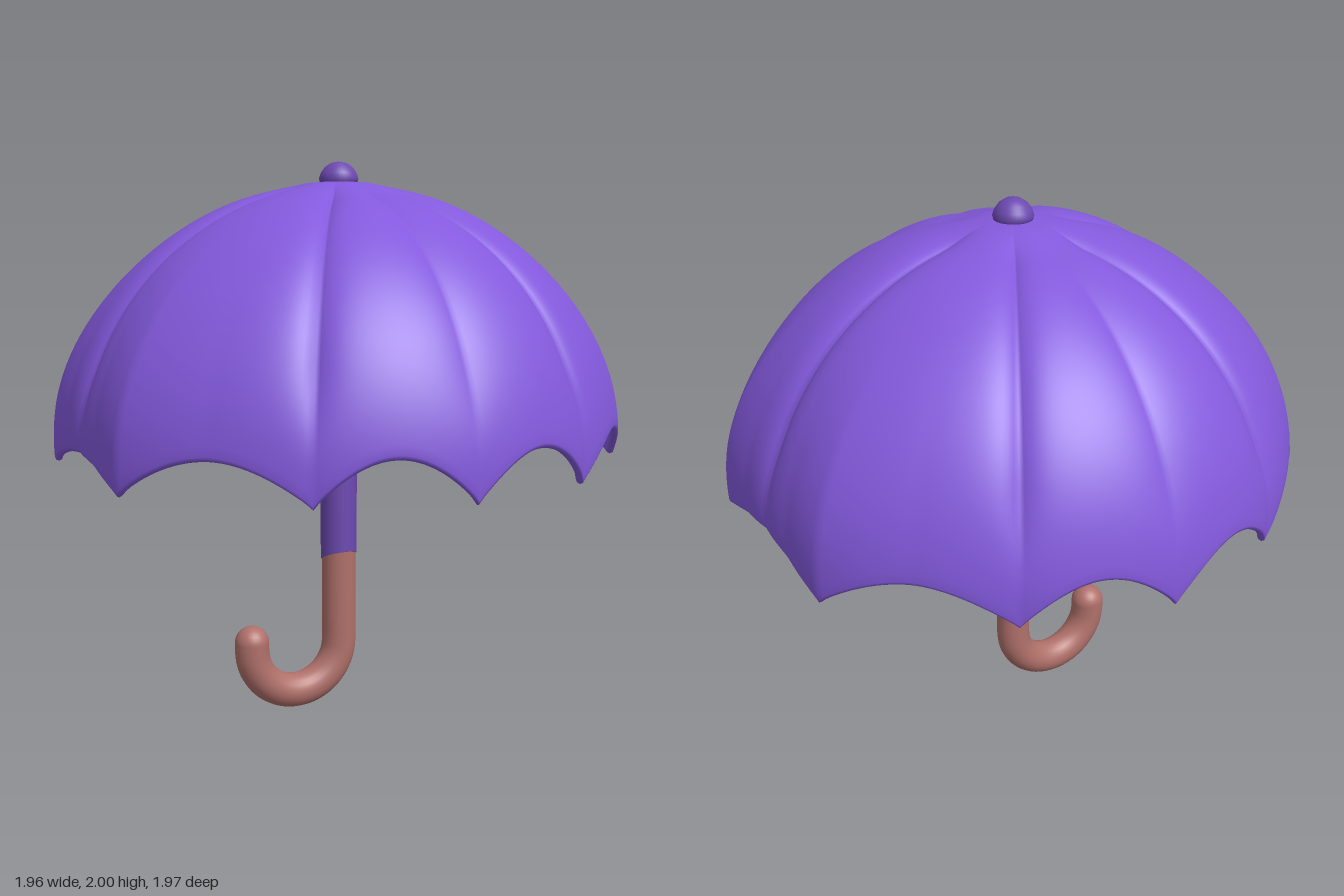
import * as THREE from 'three';

const canopyPurple = new THREE.MeshStandardMaterial({ name: 'canopy purple', color: 0x8359dc });
const stemPurple = new THREE.MeshStandardMaterial({ name: 'stem purple', color: 0x6c49b0 });
const handleBrown = new THREE.MeshStandardMaterial({ name: 'handle brown', color: 0xb0706a });

const BASE = 1.0, HEIGHT = 0.93, THICK = 0.03;
const rad = THREE.MathUtils.degToRad, smooth = THREE.MathUtils.smoothstep;

// Rim tips (degrees) and the rise of the scallop that follows each one
const tips = [-21.5, 21.5, 59.5, 90, 120.5, 158.5, 201.5, 239.5, 270, 300.5, 338.5];
const rises = [0.085, 0.14, 0.155, 0.155, 0.14, 0.085, 0.14, 0.155, 0.155, 0.14];
// Folds in the cloth: angle, depth, width
const folds = [0, 180, 59.5, 120.5, 239.5, 300.5].map((a) => [a, 0.035, 0.045])
  .concat([[90, 0.02, 0.08], [270, 0.02, 0.08]]);

// Rim radius by angle, the same in all four quarters
const rimKeys = [[0, 0.98], [10, 0.99], [21.5, 1.035], [40, 0.995], [59.5, 0.98], [75, 0.985], [90, 0.99]];
function rimRadius(deg) {
  const m = ((deg % 180) + 180) % 180, a = Math.min(m, 180 - m);
  for (let i = 1; i < rimKeys.length; i++) {
    const [a0, r0] = rimKeys[i - 1], [a1, r1] = rimKeys[i];
    if (a <= a1 + 1e-6) return r0 + (r1 - r0) * (a - a0) / (a1 - a0);
  }
  return 0.99;
}

// Point on the cloth at an angle and a polar angle, moved inward by inset
function clothPoint(deg, phi, inset) {
  const th = rad(deg), s = Math.sin(phi), c = Math.cos(phi);
  const R = 0.98 + (rimRadius(deg) - 0.98) * smooth(phi, 0.5, 1.45);
  const fade = smooth(R * s, 0.1, 0.3) * (1 - 0.8 * smooth(phi, 1.15, 1.5));
  let dent = 0;
  for (const [a, depth, width] of folds) {
    const gap = Math.abs(((deg - a + 540) % 360) - 180);
    dent += depth * Math.exp(-rad(gap) * R * s / width);
  }
  const d = inset + dent * fade;
  const r = Math.max(0, R * s - d * s), y = BASE + HEIGHT * c - d * c;
  return [r * Math.cos(th), y, r * Math.sin(th)];
}

// Scalloped dome: outer skin, rounded rim and inner skin in one closed sweep
function canopyGeometry() {
  const columns = [], SEG = 32, ROWS = 40;
  for (let k = 0; k < 10; k++) {
    for (let i = 0; i < SEG; i++) {
      const t = i / SEG;
      columns.push([
        tips[k] + (tips[k + 1] - tips[k]) * t,
        0.945 + rises[k] * Math.pow(Math.sin(Math.PI * t), 0.85),
      ]);
    }
  }
  const pos = [], index = [], loops = [];
  for (let j = 0; j <= ROWS; j++) loops.push([j / ROWS, 0, 0]);
  for (const a of [0.25, 0.5, 0.75]) {
    loops.push([1, THICK * (1 - Math.cos(a * Math.PI)) / 2, 0.015 * Math.sin(a * Math.PI)]);
  }
  for (let j = ROWS; j >= 0; j--) loops.push([j / ROWS, THICK, 0]);
  for (const [v, inset, drop] of loops) {
    for (const [deg, rimY] of columns) {
      const p = clothPoint(deg, v * Math.acos((rimY - BASE) / HEIGHT), inset);
      pos.push(p[0], p[1] - drop, p[2]);
    }
  }
  const n = columns.length;
  for (let j = 0; j < loops.length - 1; j++) {
    for (let i = 0; i < n; i++) {
      const a = j * n + i, b = j * n + (i + 1) % n;
      index.push(a, b, a + n, b, b + n, a + n);
    }
  }
  const g = new THREE.BufferGeometry();
  g.setAttribute('position', new THREE.Float32BufferAttribute(pos, 3));
  g.setIndex(index);
  g.computeVertexNormals();
  return g;
}

export function createModel() {
  const model = new THREE.Group();
  model.name = 'umbrella';
  function add(name, geometry, material, parent = model) {
    const mesh = new THREE.Mesh(geometry, material);
    mesh.name = name;
    parent.add(mesh);
    return mesh;
  }

  add('canopy', canopyGeometry(), canopyPurple);

  // Rounded cap on top
  const capProfile = [[0.0, 1.9], [0.066, 1.92], [0.071, 1.94], [0.064, 1.96], [0.05, 1.98], [0.028, 1.995], [0, 2.0]];
  add('topKnob', new THREE.LatheGeometry(capProfile.map(([x, y]) => new THREE.Vector2(x, y)), 32), stemPurple);

  // Stem with a slanted lower end
  const stem = new THREE.CylinderGeometry(0.067, 0.067, 1.34, 32);
  stem.translate(0, 1.23, 0);
  const p = stem.attributes.position;
  for (let i = 0; i < p.count; i++) {
    if (p.getY(i) < 1) p.setY(i, 0.56 + 0.4 * p.getZ(i));
  }
  add('stem', stem, stemPurple);

  // Hooked handle, bending towards -x
  const handle = new THREE.Group();
  handle.name = 'handle';
  model.add(handle);
  const R = 0.176, tube = 0.063, cy = 0.242;
  const pts = [0.62, 0.53, 0.44, 0.34].map((y) => new THREE.Vector3(0, y, 0));
  for (let i = 0; i <= 12; i++) {
    const a = -Math.PI * i / 12;
    pts.push(new THREE.Vector3(-R + R * Math.cos(a), cy + R * Math.sin(a), 0));
  }
  const end = new THREE.Vector3(-2 * R, 0.268, 0);
  pts.push(end);
  add('hook', new THREE.TubeGeometry(new THREE.CatmullRomCurve3(pts), 80, tube, 24), handleBrown, handle);
  add('hookEnd', new THREE.SphereGeometry(tube, 24, 16), handleBrown, handle).position.copy(end);

  return model;
}
